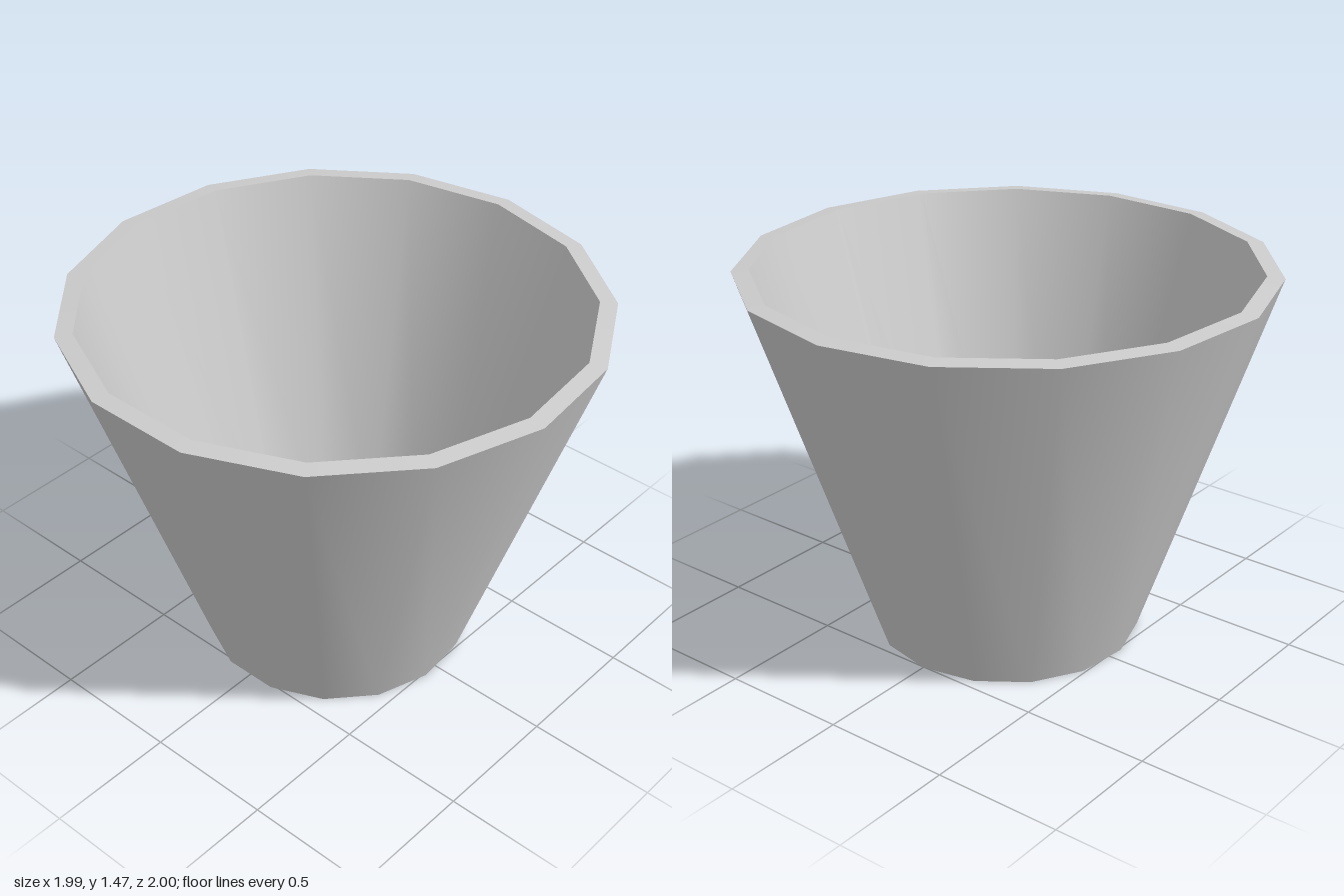
import * as THREE from 'three';

const SIDES = 15;

export function createModel() {
  const pot = new THREE.Group();
  pot.name = 'taperedPot';
  const material = new THREE.MeshStandardMaterial({ color: 0xcccccc });

  // Profile corners as [radius, height]
  const outerBase = [0.515, 0];
  const outerTop = [1.0055, 1.462];
  const innerTop = [0.94, 1.469];
  const innerBase = [0.484, 0.062];

  // Each band is its own lathe, so it is smooth around and sharp at its rims;
  // one corner of the 15-sided ring points to +x.
  function band(name, from, to) {
    const points = [from, to].map(([r, y]) => new THREE.Vector2(r, y));
    const mesh = new THREE.Mesh(new THREE.LatheGeometry(points, SIDES, Math.PI / 2), material);
    mesh.name = name;
    pot.add(mesh);
  }

  // Flat disc facing up or down
  function disc(name, [radius, y], up) {
    const geometry = new THREE.CircleGeometry(radius, SIDES);
    geometry.rotateX(up ? -Math.PI / 2 : Math.PI / 2);
    const mesh = new THREE.Mesh(geometry, material);
    mesh.position.y = y;
    mesh.name = name;
    pot.add(mesh);
  }

  band('outerWall', outerBase, outerTop);
  band('rim', outerTop, innerTop);
  band('innerWall', innerTop, innerBase);
  disc('innerFloor', innerBase, true);
  disc('base', outerBase, false);

  // An odd number of sides is lopsided in x, so shift to centre the bounds
  pot.children.forEach((mesh) => { mesh.position.x = -0.011; });
  return pot;
}
